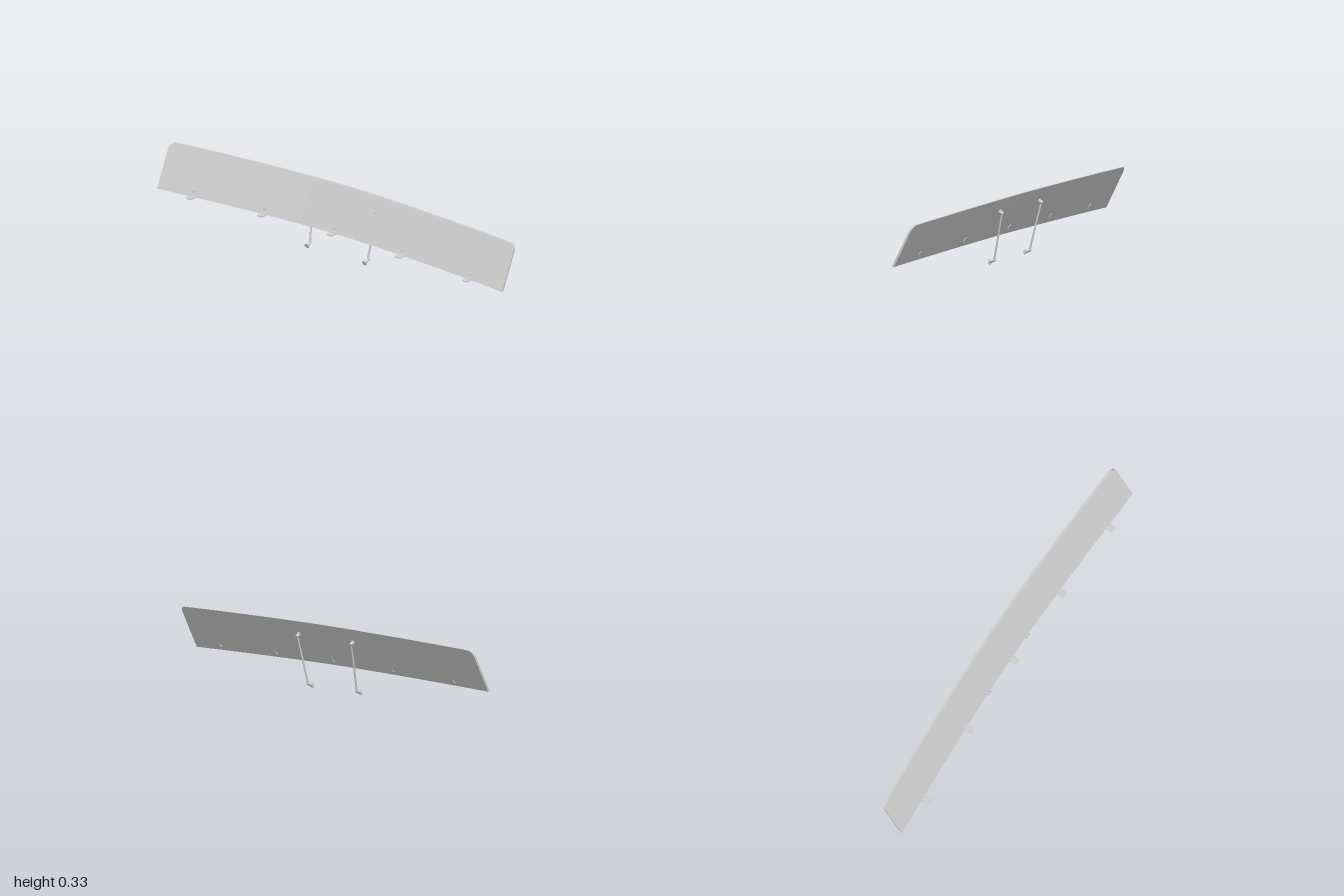
import * as THREE from 'three';
import { toCreasedNormals } from 'three/addons/utils/BufferGeometryUtils.js';

const H = 0.201, CORNER = 0.028, THICK = 0.012;
const LEAN = Math.atan(0.517);
const material = new THREE.MeshStandardMaterial({ color: 0xcccccc });

// Point on the bowed, leaning front surface: h is the height above the lower edge
function onPanel(x, h, back = 0) {
  const bow = Math.pow(Math.abs(x), 1.6);
  return new THREE.Vector3(x, 0.126 + h - 0.022 * bow, 0.029 - 0.517 * h + 0.035 * bow - back);
}

function add(parent, name, geometry) {
  const mesh = new THREE.Mesh(geometry, material);
  mesh.name = name;
  parent.add(mesh);
  return mesh;
}

// Cylinder between two points
function rod(parent, name, a, b, ra, rb = ra, sides = 20) {
  const dir = b.clone().sub(a);
  const mesh = add(parent, name, new THREE.CylinderGeometry(rb, ra, dir.length(), sides));
  mesh.position.copy(a).add(b).multiplyScalar(0.5);
  mesh.quaternion.setFromUnitVectors(new THREE.Vector3(0, 1, 0), dir.normalize());
  return mesh;
}

// Curved board with rounded upper corners, lofted through four-cornered sections
function panelGeometry() {
  const columns = [];
  for (let i = 0; i <= 8; i++) {
    const a = (i / 8) * Math.PI / 2;
    columns.push([-(1 - CORNER + CORNER * Math.cos(a)), H - CORNER + CORNER * Math.sin(a)]);
  }
  for (let i = 1; i < 48; i++) columns.push([(1 - CORNER) * (i / 24 - 1), H]);
  for (let i = 8; i >= 0; i--) columns.push([-columns[i][0], columns[i][1]]);

  const positions = [], index = [];
  for (const [x, h] of columns) {
    for (const p of [onPanel(x, 0), onPanel(x, h), onPanel(x, h, THICK), onPanel(x, 0, THICK)]) {
      positions.push(p.x, p.y, p.z);
    }
  }
  for (let i = 0; i < columns.length - 1; i++) {
    for (let k = 0; k < 4; k++) {
      const a = i * 4 + k, b = i * 4 + (k + 1) % 4;
      index.push(a, a + 4, b + 4, a, b + 4, b);
    }
  }
  const e = (columns.length - 1) * 4;
  index.push(0, 1, 2, 0, 2, 3, e, e + 2, e + 1, e, e + 3, e + 2);
  const geometry = new THREE.BufferGeometry();
  geometry.setAttribute('position', new THREE.Float32BufferAttribute(positions, 3));
  geometry.setIndex(index);
  return toCreasedNormals(geometry, 0.5);
}

// Ledge clip with a round-nosed tongue, a front pin and a half-ring on the back
function clip(x) {
  const group = new THREE.Group();
  group.name = 'ledgeClip';
  const w = 0.017, r = 0.012, len = 0.036;
  const shape = new THREE.Shape();
  shape.moveTo(-w, 0.008);
  shape.lineTo(-w, -len + r);
  shape.quadraticCurveTo(-w, -len, -w + r, -len);
  shape.lineTo(w - r, -len);
  shape.quadraticCurveTo(w, -len, w, -len + r);
  shape.lineTo(w, 0.008);
  const tongue = add(group, 'clipTongue',
    new THREE.ExtrudeGeometry(shape, { depth: 0.004, bevelEnabled: false, curveSegments: 8 }));
  tongue.rotation.x = -Math.PI / 2;
  tongue.position.copy(onPanel(x, 0));

  const pin = onPanel(x, 0.026);
  rod(group, 'clipPin', pin, pin.clone().add(new THREE.Vector3(0, 0, 0.016)), 0.005, 0.004, 14);

  const ring = add(group, 'clipBackRing', new THREE.TorusGeometry(0.014, 0.0025, 8, 20, Math.PI));
  ring.rotation.set(-LEAN, 0, -Math.PI / 2, 'XYZ');
  ring.position.copy(onPanel(x, 0.028, THICK + 0.001));
  return group;
}

// Stay: stud through the board, tapered rod and a flanged foot
function stay(side) {
  const group = new THREE.Group();
  group.name = side > 0 ? 'leftStay' : 'rightStay';
  const normal = new THREE.Vector3(0, Math.sin(LEAN), Math.cos(LEAN));
  const face = onPanel(side * 0.185, 0.14);
  const along = (d) => face.clone().addScaledVector(normal, d);
  rod(group, 'studCap', along(-0.004), along(0.002), 0.012, 0.011);
  rod(group, 'stud', along(-0.033), along(-0.004), 0.0085);
  rod(group, 'studCollar', along(-0.016), along(-0.008), 0.011);

  const x = side * 0.167;
  const footBack = new THREE.Vector3(x, 0.026, -0.018);
  const footFront = new THREE.Vector3(x, 0.014, 0.013);
  const axis = footFront.clone().sub(footBack).normalize();
  rod(group, 'footBarrel', footBack, footFront, 0.007);
  rod(group, 'footFlange', footFront, footFront.clone().addScaledVector(axis, 0.003), 0.0125);

  const top = along(-0.025);
  const bottom = new THREE.Vector3(x, 0.026, -0.011);
  const neck = bottom.clone().lerp(top, 0.9);
  rod(group, 'stayRod', bottom, neck, 0.005, 0.004);
  rod(group, 'stayNeck', neck, top, 0.004, 0.0022);
  return group;
}

export function createModel() {
  const model = new THREE.Group();
  model.name = 'curvedDisplayBoard';
  add(model, 'curvedPanel', panelGeometry());
  for (let i = -2; i <= 2; i++) model.add(clip(i * 0.4));
  for (const side of [-1, 1]) model.add(stay(side));
  return model;
}
